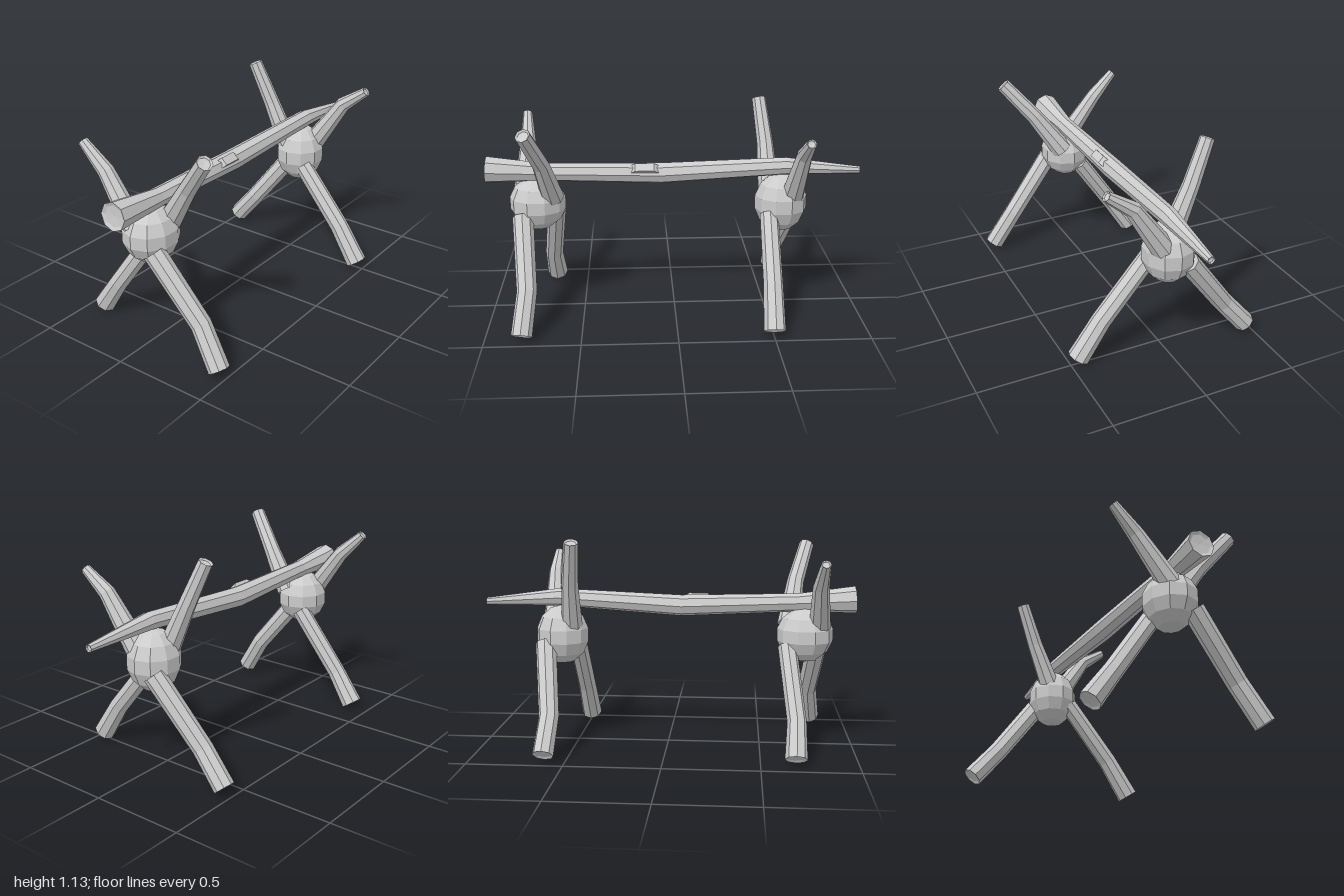
import * as THREE from 'three';

const SIDES = 8;
const material = new THREE.MeshStandardMaterial({ color: 0xcccccc, flatShading: true });

function addMesh(parent, name, geometry) {
  const mesh = new THREE.Mesh(geometry, material);
  mesh.name = name;
  parent.add(mesh);
  return mesh;
}

// Faceted limb through points [x, y, z, radius], with slightly hollowed ends.
function limbGeometry(points) {
  const centres = points.map(([x, y, z]) => new THREE.Vector3(x, y, z));
  const last = points.length - 1;
  const rings = centres.map((c, i) => {
    const t = new THREE.Vector3()
      .subVectors(centres[Math.min(i + 1, last)], centres[Math.max(i - 1, 0)])
      .normalize();
    const ref = Math.abs(t.x) > 0.8 ? new THREE.Vector3(0, 1, 0) : new THREE.Vector3(1, 0, 0);
    const u = ref.addScaledVector(t, -ref.dot(t)).normalize();
    return { c, t, u, v: new THREE.Vector3().crossVectors(t, u), r: points[i][3] };
  });
  // End faces: a narrow rim, then a shallow dish
  const inset = (ring, scale, depth) => ({
    ...ring, r: ring.r * scale, c: ring.c.clone().addScaledVector(ring.t, depth),
  });
  const a = rings[0], b = rings[last];
  const all = [inset(a, 0, 0.012), inset(a, 0.75, 0.008), ...rings,
    inset(b, 0.75, -0.008), inset(b, 0, -0.012)];

  const corner = (ring, j) => {
    const angle = (j / SIDES) * Math.PI * 2;
    return ring.c.clone()
      .addScaledVector(ring.u, Math.cos(angle) * ring.r)
      .addScaledVector(ring.v, Math.sin(angle) * ring.r);
  };
  const positions = [];
  const triangle = (...corners) => corners.forEach((p) => positions.push(p.x, p.y, p.z));
  for (let i = 0; i < all.length - 1; i++) {
    for (let j = 0; j < SIDES; j++) {
      const p = corner(all[i], j), q = corner(all[i], j + 1);
      const s = corner(all[i + 1], j), w = corner(all[i + 1], j + 1);
      if (all[i].r > 0) triangle(p, q, s);
      if (all[i + 1].r > 0) triangle(q, w, s);
    }
  }
  const geometry = new THREE.BufferGeometry();
  geometry.setAttribute('position', new THREE.Float32BufferAttribute(positions, 3));
  geometry.computeVertexNormals();
  return geometry;
}

// One stand: a faceted hub with two legs and two upper prongs.
function createStand(name, hub, limbs) {
  const stand = new THREE.Group();
  stand.name = name;
  const ball = addMesh(stand, 'hub', new THREE.SphereGeometry(1, 10, 7));
  ball.position.set(...hub.centre);
  ball.scale.set(...hub.radii);
  for (const [limbName, points] of Object.entries(limbs)) {
    addMesh(stand, limbName, limbGeometry(points));
  }
  return stand;
}

export function createModel() {
  const model = new THREE.Group();
  model.name = 'logOnStands';

  // Long crossbar, cut at one end and tapering at the other
  addMesh(model, 'crossbar', limbGeometry([
    [-1, 0.805, 0.012, 0.073],
    [-0.7, 0.787, 0.01, 0.049],
    [-0.07, 0.767, -0.008, 0.057],
    [0.6, 0.803, 0.012, 0.048],
    [1, 0.776, 0.014, 0.02],
  ]));

  // Raised knot on the upper front of the crossbar
  const outline = new THREE.Shape([[-0.09, 0], [0.09, 0], [0.05, 0.035], [-0.05, 0.035]]
    .map(([x, y]) => new THREE.Vector2(x, y)));
  const knotGeometry = new THREE.ExtrudeGeometry(outline, { depth: 0.046, bevelEnabled: false });
  knotGeometry.translate(0, 0, -0.023);
  const knot = addMesh(model, 'knot', knotGeometry);
  knot.position.set(-0.16, 0.79, 0.019);
  knot.rotation.x = Math.PI / 4;

  model.add(createStand('rightStand', { centre: [-0.735, 0.615, 0], radii: [0.153, 0.148, 0.14] }, {
    frontLeg: [
      [-0.81, 0.56, 0.08, 0.056], [-0.78, 0.24, 0.335, 0.053], [-0.805, 0.045, 0.46, 0.055]],
    backLeg: [
      [-0.64, 0.56, -0.05, 0.05], [-0.685, 0.21, -0.29, 0.05], [-0.68, 0.042, -0.405, 0.058]],
    frontProng: [
      [-0.65, 0.66, 0.05, 0.062], [-0.69, 0.88, 0.2, 0.046], [-0.757, 1.075, 0.357, 0.04]],
    backProng: [
      [-0.81, 0.66, -0.04, 0.058], [-0.795, 0.9, -0.22, 0.042], [-0.805, 1.027, -0.352, 0.026]],
  }));

  model.add(createStand('leftStand', { centre: [0.58, 0.6, 0], radii: [0.145, 0.163, 0.138] }, {
    frontLeg: [
      [0.51, 0.55, 0.07, 0.05], [0.505, 0.24, 0.33, 0.052], [0.5, 0.045, 0.46, 0.058]],
    backLeg: [
      [0.66, 0.56, -0.07, 0.056], [0.6, 0.22, -0.325, 0.053], [0.607, 0.053, -0.465, 0.055]],
    frontProng: [
      [0.635, 0.66, 0.06, 0.062], [0.655, 0.92, 0.235, 0.042], [0.662, 1.02, 0.372, 0.026]],
    backProng: [
      [0.52, 0.66, -0.05, 0.058], [0.508, 0.89, -0.155, 0.045], [0.48, 1.12, -0.255, 0.038]],
  }));

  return model;
}
